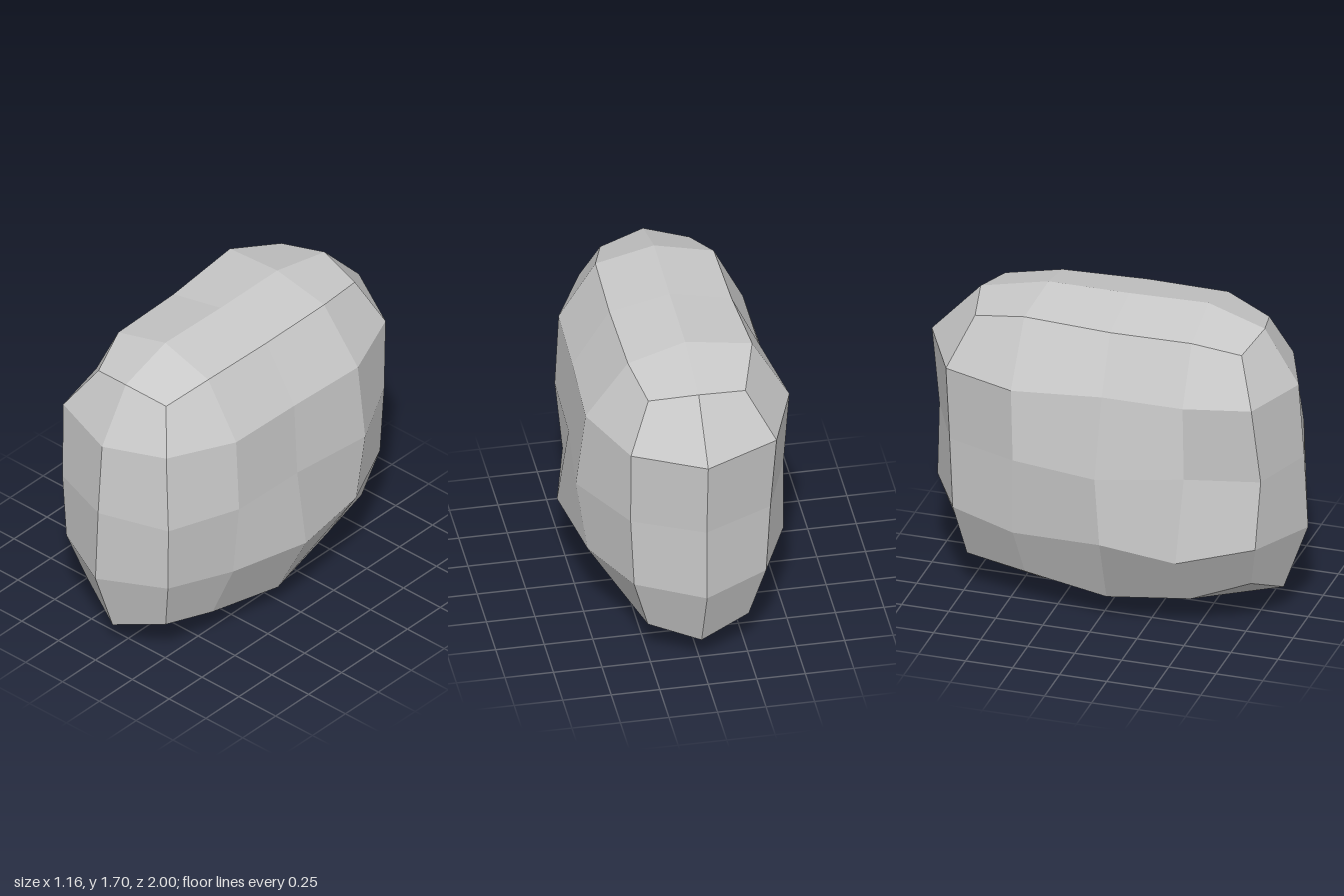
import * as THREE from 'three';

// Centre-line loop [y, z]: top front corner, back over the top, down the back, under, up the front
const RIDGE = [
  [1.6, 0.77], [1.7, 0.47], [1.69, 0.05], [1.69, -0.38],
  [1.61, -0.74], [1.33, -1], [0.91, -0.96], [0.51, -0.97],
  [0.15, -0.82], [0, -0.4], [0.08, 0.05], [0.11, 0.5],
  [0.15, 0.87], [0.51, 1], [0.91, 0.98], [1.31, 0.95],
];
// Shoulder loop around each side [y, z, x on the left, x on the right, y on the right if different]
const SHOULDER = [
  [1.55, 0.72, 0.23, 0.23], [1.62, 0.48, 0.3, 0.31], [1.62, 0.05, 0.31, 0.32], [1.61, -0.4, 0.3, 0.34, 1.65],
  [1.57, -0.69, 0.25, 0.25], [1.32, -0.8, 0.36, 0.39], [0.91, -0.79, 0.36, 0.36], [0.51, -0.78, 0.34, 0.34],
  [0.22, -0.73, 0.26, 0.26], [0.2, -0.4, 0.33, 0.33], [0.13, 0.05, 0.39, 0.38, 0.15], [0.18, 0.48, 0.33, 0.33],
  [0.24, 0.78, 0.28, 0.26, 0.28], [0.52, 0.83, 0.34, 0.35], [0.91, 0.86, 0.37, 0.35], [1.32, 0.82, 0.32, 0.38],
];
// Bulge of each flank, rows from the top, columns from the front
const ROW_Y = [1.32, 0.91, 0.5];
const COLUMN_Z = [0.48, 0.05, -0.41];
const BULGE = [
  [[0.49, 0.5, 0.52], [0.51, 0.52, 0.57], [0.47, 0.58, 0.51]],
  [[0.46, 0.46, 0.53], [0.44, 0.58, 0.5], [0.58, 0.5, 0.5]],
];

function buildHalf(side) {
  const sign = side === 0 ? 1 : -1;
  const positions = [];
  const normals = [];
  // One facet: two triangles sharing a single flat normal
  const quad = (a, b, c, d, splitAC) => {
    const corners = sign > 0 ? [a, b, c, d] : [a, d, c, b];
    const [p, q, r, s] = corners.map((v) => new THREE.Vector3(...v));
    const normal = r.sub(p).cross(s.sub(q)).normalize();
    for (const i of splitAC ? [0, 1, 2, 0, 2, 3] : [0, 1, 3, 1, 2, 3]) {
      positions.push(...corners[i]);
      normals.push(normal.x, normal.y, normal.z);
    }
  };
  const ridge = (k) => [0, ...RIDGE[k % 16]];
  const shoulder = (k) => {
    const [y, z, xLeft, xRight, yRight = y] = SHOULDER[k % 16];
    return side === 0 ? [xLeft, y, z] : [-xRight, yRight, z];
  };
  // Flank grid: its border is the shoulder loop, its inside is the bulge
  const flank = (i, j) => {
    if (i === 0) return shoulder(j);
    if (j === 4) return shoulder(4 + i);
    if (i === 4) return shoulder(12 - j);
    if (j === 0) return shoulder(16 - i);
    return [sign * BULGE[side][i - 1][j - 1], ROW_Y[i - 1], COLUMN_Z[j - 1]];
  };

  // Band from the centre line to the shoulder
  for (let k = 0; k < 16; k++) {
    quad(ridge(k), shoulder(k), shoulder(k + 1), ridge(k + 1), side === 0);
  }
  // Flank
  for (let i = 0; i < 4; i++) {
    for (let j = 0; j < 4; j++) {
      quad(flank(i, j), flank(i + 1, j), flank(i + 1, j + 1), flank(i, j + 1), side === 1);
    }
  }

  const geometry = new THREE.BufferGeometry();
  geometry.setAttribute('position', new THREE.Float32BufferAttribute(positions, 3));
  geometry.setAttribute('normal', new THREE.Float32BufferAttribute(normals, 3));
  return geometry;
}

export function createModel() {
  const group = new THREE.Group();
  group.name = 'rock';
  const stone = new THREE.MeshStandardMaterial({ color: 0xc8c8c8 });
  stone.name = 'stone grey';

  ['leftHalf', 'rightHalf'].forEach((name, side) => {
    const mesh = new THREE.Mesh(buildHalf(side), stone);
    mesh.name = name;
    group.add(mesh);
  });
  return group;
}
